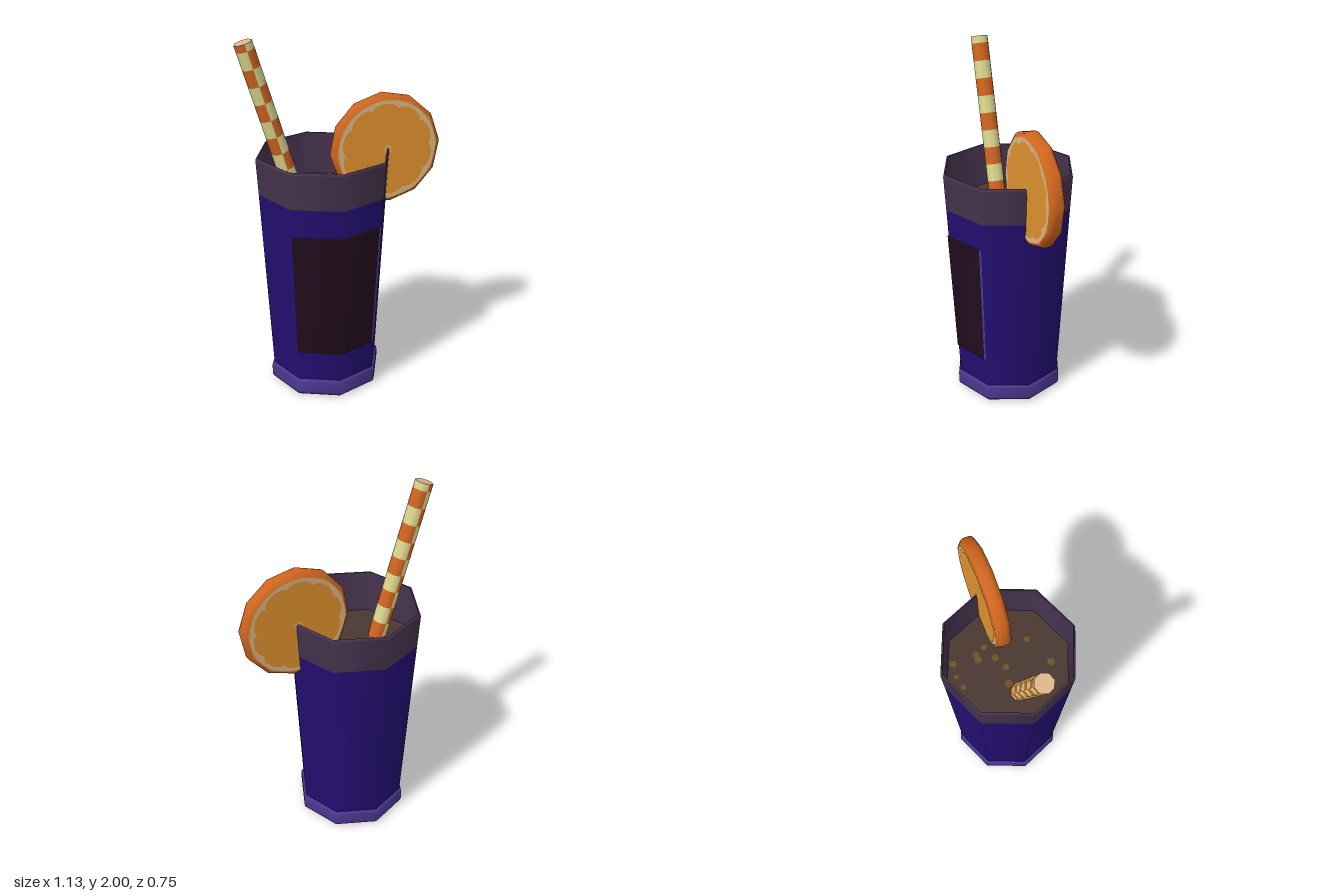
import * as THREE from 'three';

const mat = (name, color) => {
  const m = new THREE.MeshStandardMaterial({ color });
  m.name = name;
  return m;
};

export function createModel() {
  const glass = mat('deep violet glass', 0x240f72);
  const band = mat('dusky purple band', 0x46334e);
  const base = mat('violet base', 0x4d3890);
  const labelDark = mat('dark plum label', 0x220d1d);
  const drink = mat('brown drink', 0x4a3731);
  const bubble = mat('olive bubble', 0x6a5622);
  const orange = mat('orange rind', 0xd0651f);
  const flesh = mat('orange flesh', 0xe0922e);
  const pith = mat('pale pith', 0xdcb688);
  const cream = mat('cream stripe', 0xdcd78e);

  const model = new THREE.Group();
  const add = (parent, name, geometry, material) => {
    const mesh = new THREE.Mesh(geometry, material);
    mesh.name = name;
    parent.add(mesh);
    return mesh;
  };
  const lathe = (pts, sides) => new THREE.LatheGeometry(pts.map(p => new THREE.Vector2(...p)), sides);

  // Eight-sided tumbler, corners on the axes
  const cup = new THREE.Group();
  cup.name = 'cup';
  cup.position.x = -0.1;
  model.add(cup);
  const radiusAt = y => 0.307 + (y - 0.1) * 0.0555;

  add(cup, 'base', lathe([[0.3, 0], [0.315, 0.012], [0.32, 0.03], [0.32, 0.085], [0.315, 0.1], [0.3, 0.108]], 8), base);
  add(cup, 'baseUnderside', new THREE.CircleGeometry(0.3, 8).rotateX(Math.PI / 2), base);
  add(cup, 'body', lathe([[radiusAt(0.1), 0.1], [radiusAt(1.155), 1.155]], 8), glass);
  add(cup, 'rimBand', lathe([[radiusAt(1.155), 1.155], [0.377, 1.35]], 8), band);
  add(cup, 'rimEdge', lathe([[0.377, 1.35], [0.374, 1.362], [0.366, 1.362]], 8), band);
  add(cup, 'innerWall', lathe([[0.366, 1.362], [0.352, 1.1]], 8), band);

  // Label plates wrapped over the two front faces; u = -1..1 spans both
  const wrapPlate = (us, lift) => {
    const g = new THREE.PlaneGeometry(1, 0.72, us.length - 1, 1);
    const p = g.attributes.position;
    for (let i = 0; i < p.count; i++) {
      const y = p.getY(i) + 0.64;
      const r = radiusAt(y) + lift;
      const x = us[i % us.length] * r * Math.SQRT1_2;
      p.setXYZ(i, x, y, r - Math.abs(x) * Math.tan(Math.PI / 8));
    }
    g.computeVertexNormals();
    return g;
  };
  add(cup, 'label', wrapPlate([-0.98, 0, 0.91], 0.006), labelDark);
  add(cup, 'labelEdge', wrapPlate([0.91, 0.97], 0.006), base);

  // Drink surface and floating bubbles: x, z, radius
  const top = new THREE.CircleGeometry(0.354, 8).rotateX(-Math.PI / 2);
  add(cup, 'drink', top, drink).position.y = 1.12;
  const bubbles = [
    [-0.13, -0.27, 0.016], [-0.06, -0.285, 0.013], [0.015, -0.275, 0.02], [-0.012, -0.14, 0.021],
    [0.02, -0.143, 0.018], [0.045, -0.085, 0.017], [-0.2, -0.035, 0.022], [-0.035, -0.05, 0.02],
    [-0.105, -0.015, 0.018], [0.005, 0.15, 0.017], [-0.165, 0.225, 0.021], [0.075, 0.048, 0.015],
  ];
  for (const [x, z, r] of bubbles) {
    add(model, 'bubble', new THREE.CircleGeometry(r, 10).rotateX(-Math.PI / 2), bubble).position.set(x, 1.124, z);
  }

  // Twelve-sided orange slice on the rim
  const slice = new THREE.Group();
  slice.name = 'orangeSlice';
  slice.position.set(0.25, 1.355, 0);
  slice.rotation.z = 0.07;
  model.add(slice);
  const rindProfile = [[0.29, -0.042], [0.306, -0.032], [0.313, -0.015], [0.313, 0.015], [0.306, 0.032], [0.29, 0.042]];
  add(slice, 'rind', lathe(rindProfile, 12).rotateX(Math.PI / 2), orange);

  const polar = (radius, n) => Array.from({ length: n }, (_, i) => {
    const a = (i / n) * Math.PI * 2;
    return new THREE.Vector2(Math.cos(a), Math.sin(a)).multiplyScalar(radius(a));
  });
  const pithRing = new THREE.Shape(polar(() => 0.278, 48));
  pithRing.holes.push(new THREE.Path(polar(a => 0.238 + 0.022 * Math.sqrt(Math.abs(Math.sin(a * 5))), 120)));
  const core = new THREE.Shape(polar(a => 0.02 + 0.012 * Math.cos(a * 10), 40));
  for (const turn of [0, Math.PI]) {
    const face = new THREE.Group();
    face.name = 'sliceFace';
    face.rotation.y = turn;
    slice.add(face);
    add(face, 'flesh', new THREE.CircleGeometry(0.29, 12), flesh).position.z = 0.042;
    add(face, 'pithRing', new THREE.ShapeGeometry(pithRing), pith).position.z = 0.044;
    add(face, 'pithCore', new THREE.ShapeGeometry(core), pith).position.z = 0.044;
  }

  // Leaning straw: two half tubes with stripes out of step
  const straw = new THREE.Group();
  straw.name = 'straw';
  straw.position.set(-0.52, 1.985, 0);
  straw.rotation.z = 0.292;
  model.add(straw);
  const length = 0.95, pitch = 0.097, r = 0.05;
  for (const half of [0, 1]) {
    let from = 0, to = 0.04;
    for (let i = 0; from < length; i++) {
      const g = new THREE.CylinderGeometry(r, r, to - from, 4, 1, true, half * Math.PI, Math.PI);
      add(straw, 'strawStripe', g, (i + half) % 2 ? orange : cream).position.y = -(from + to) / 2;
      from = to;
      to = Math.min(to + pitch, length);
    }
  }
  add(straw, 'strawTop', new THREE.CircleGeometry(r, 8).rotateX(-Math.PI / 2), pith);

  return model;
}
